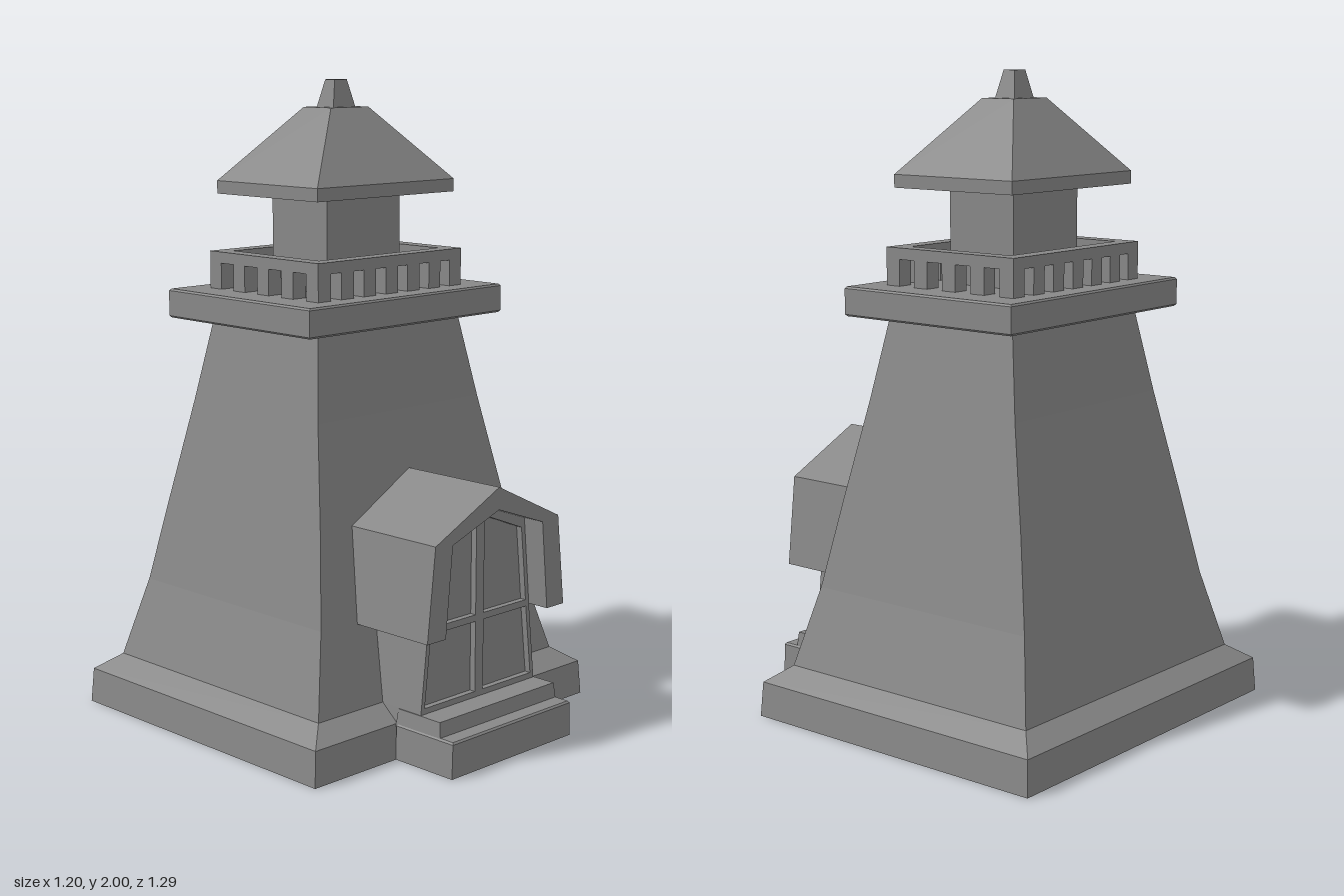
import * as THREE from 'three';

const CZ = -0.112; // tower axis in z

// tower profile: height, half width, half depth
const PROFILE = [
  [0, 0.6, 0.533], [0.11, 0.592, 0.527], [0.16, 0.52, 0.463], [0.41, 0.453, 0.404],
  [0.68, 0.405, 0.352], [1.0, 0.35, 0.285], [1.27, 0.303, 0.237],
];
// half of the doorway outline: half width, height
const DOORWAY = [[0.265, 0], [0.254, 0.16], [0.227, 0.405], [0.2, 0.68], [0, 0.752]];

function lerpTable(table, key, val, k) {
  for (let i = 1; i < table.length; i++) {
    const a = table[i - 1], b = table[i];
    if (k <= b[key]) return a[val] + (b[val] - a[val]) * (k - a[key]) / (b[key] - a[key]);
  }
  return table[table.length - 1][val];
}
const wallZ = (y) => CZ + lerpTable(PROFILE, 0, 2, y);
const doorX = (y) => lerpTable(DOORWAY, 1, 0, y);

export function createModel() {
  const model = new THREE.Group();
  const stone = 0x888888;
  const solid = new THREE.MeshStandardMaterial({ color: stone, flatShading: true });
  const sheet = new THREE.MeshStandardMaterial({ color: stone, flatShading: true, side: THREE.DoubleSide });

  function add(name, geometry, material = solid, parent = model) {
    const mesh = new THREE.Mesh(geometry, material);
    mesh.name = name;
    parent.add(mesh);
    return mesh;
  }

  // flat-faced skin over successive rings of points
  function loft(rings, closed = true, caps = false) {
    const pos = [];
    const quad = (a, b, c, d) => [a, b, c, a, c, d].forEach((p) => pos.push(...p));
    for (let r = 1; r < rings.length; r++) {
      const lo = rings[r - 1], hi = rings[r], n = lo.length;
      for (let i = 0; i < (closed ? n : n - 1); i++) {
        const j = (i + 1) % n;
        quad(lo[i], lo[j], hi[j], hi[i]);
      }
    }
    if (caps) {
      quad(...rings[rings.length - 1]);
      quad(...[...rings[0]].reverse());
    }
    const g = new THREE.BufferGeometry();
    g.setAttribute('position', new THREE.Float32BufferAttribute(pos, 3));
    g.computeVertexNormals();
    return g;
  }

  const rect = (y, hw, hd, cz = CZ) =>
    [[hw, y, cz + hd], [hw, y, cz - hd], [-hw, y, cz - hd], [-hw, y, cz + hd]];
  const block = (rows, cz) => loft(rows.map(([y, hw, hd]) => rect(y, hw, hd, cz)), true, true);

  // hollow tower, open below; the lower rings leave the doorway free
  const openRing = ([y, hw, hd]) =>
    [[doorX(y), y, CZ + hd], ...rect(y, hw, hd), [-doorX(y), y, CZ + hd]];
  add('towerLowerWalls', loft(PROFILE.slice(0, 5).map(openRing), false), sheet);
  add('towerUpperWalls', loft(PROFILE.slice(4).map((p) => rect(...p))), sheet);

  // gallery platform with a small edge bevel
  add('galleryPlatform', block([
    [1.265, 0.41, 0.317], [1.271, 0.416, 0.322], [1.35, 0.416, 0.322], [1.356, 0.41, 0.317],
  ]));

  // railing: posts on all sides under a top rail
  const railing = new THREE.Group();
  railing.name = 'railing';
  model.add(railing);
  const T = 0.052, RX = 0.31 - T / 2, RZ = 0.246 - T / 2;
  const post = new THREE.BoxGeometry(T, 0.09, T);
  const addPost = (x, z) => add('railingPost', post, solid, railing).position.set(x, 1.396, CZ + z);
  for (const s of [-1, 1]) {
    for (let i = 0; i < 7; i++) addPost(RX * (i / 3 - 1), s * RZ);
    for (let i = 1; i < 4; i++) addPost(s * RX, RZ * (i / 2 - 1));
    add('railLong', new THREE.BoxGeometry(0.62, 0.035, T), solid, railing)
      .position.set(0, 1.455, CZ + s * RZ);
    add('railShort', new THREE.BoxGeometry(T, 0.035, 2 * RZ - T), solid, railing)
      .position.set(s * RX, 1.455, CZ);
  }

  // lantern room, roof and finial
  add('lanternRoom', block([[1.35, 0.157, 0.123], [1.67, 0.157, 0.123]]));
  add('roof', block([[1.651, 0.294, 0.227], [1.691, 0.294, 0.227], [1.916, 0.08, 0.061]]));
  add('finial', block([[1.912, 0.048, 0.038], [2.0, 0.026, 0.021]]));

  // entrance steps
  add('lowerStep', block([[0, 0.268, 0.115], [0.105, 0.265, 0.115], [0.111, 0.26, 0.11]], 0.535));
  add('upperStep', block([[0.1, 0.262, 0.092], [0.157, 0.257, 0.085]], 0.505));

  // porch side walls below the hood
  for (const s of [-1, 1]) {
    const low = DOORWAY.slice(0, 3);
    // extra point where the plinth changes slope
    low.splice(1, 0, [doorX(0.11), 0.11]);
    const rings = low.map(([x, y]) => [[s * x, y, 0.51], [s * x, y, wallZ(y)]]);
    add('porchSideWall', loft(rings, false), sheet);
  }

  const shapeOf = (pts) => new THREE.Shape(pts.map(([x, y]) => new THREE.Vector2(x, y)));
  const mirrored = (half) => [...half, ...half.filter(([x]) => x > 0).reverse().map(([x, y]) => [-x, y])];

  // gabled hood; its back follows the sloping tower wall
  const hoodOuter = mirrored([[0.305, 0.402], [0.273, 0.689], [0, 0.821]]);
  const hoodInner = mirrored([[0.227, 0.402], ...DOORWAY.slice(3)]).reverse();
  const hood = new THREE.ExtrudeGeometry(shapeOf([...hoodOuter, ...hoodInner]),
    { depth: 1, bevelEnabled: false });
  const p = hood.attributes.position;
  for (let i = 0; i < p.count; i++) p.setZ(i, p.getZ(i) > 0.5 ? 0.583 : wallZ(p.getY(i)) - 0.005);
  hood.computeVertexNormals();
  add('porchHood', hood);

  // door: frame with four openings around a thin panel, raised on both faces
  const doorOutline = mirrored([[0.256, 0.14], ...DOORWAY.slice(2)]);
  const frame = shapeOf(doorOutline);
  for (const s of [-1, 1]) {
    const panels = [
      [[0.018, 0.175], [0.238, 0.175], [0.213, 0.396], [0.018, 0.396]],
      [[0.018, 0.417], [0.211, 0.417], [0.2, 0.53], [0.187, 0.652], [0.018, 0.719]],
    ];
    for (const panel of panels) {
      frame.holes.push(new THREE.Path(panel.map(([x, y]) => new THREE.Vector2(s * x, y))));
    }
  }
  add('doorFrame', new THREE.ExtrudeGeometry(frame, { depth: 0.045, bevelEnabled: false }))
    .position.z = 0.465;
  const panelOutline = mirrored([[0.245, 0.16], [0.22, 0.405], [0.194, 0.67], [0, 0.74]]);
  add('doorPanel', new THREE.ExtrudeGeometry(shapeOf(panelOutline), { depth: 0.005, bevelEnabled: false }))
    .position.z = 0.485;

  return model;
}
